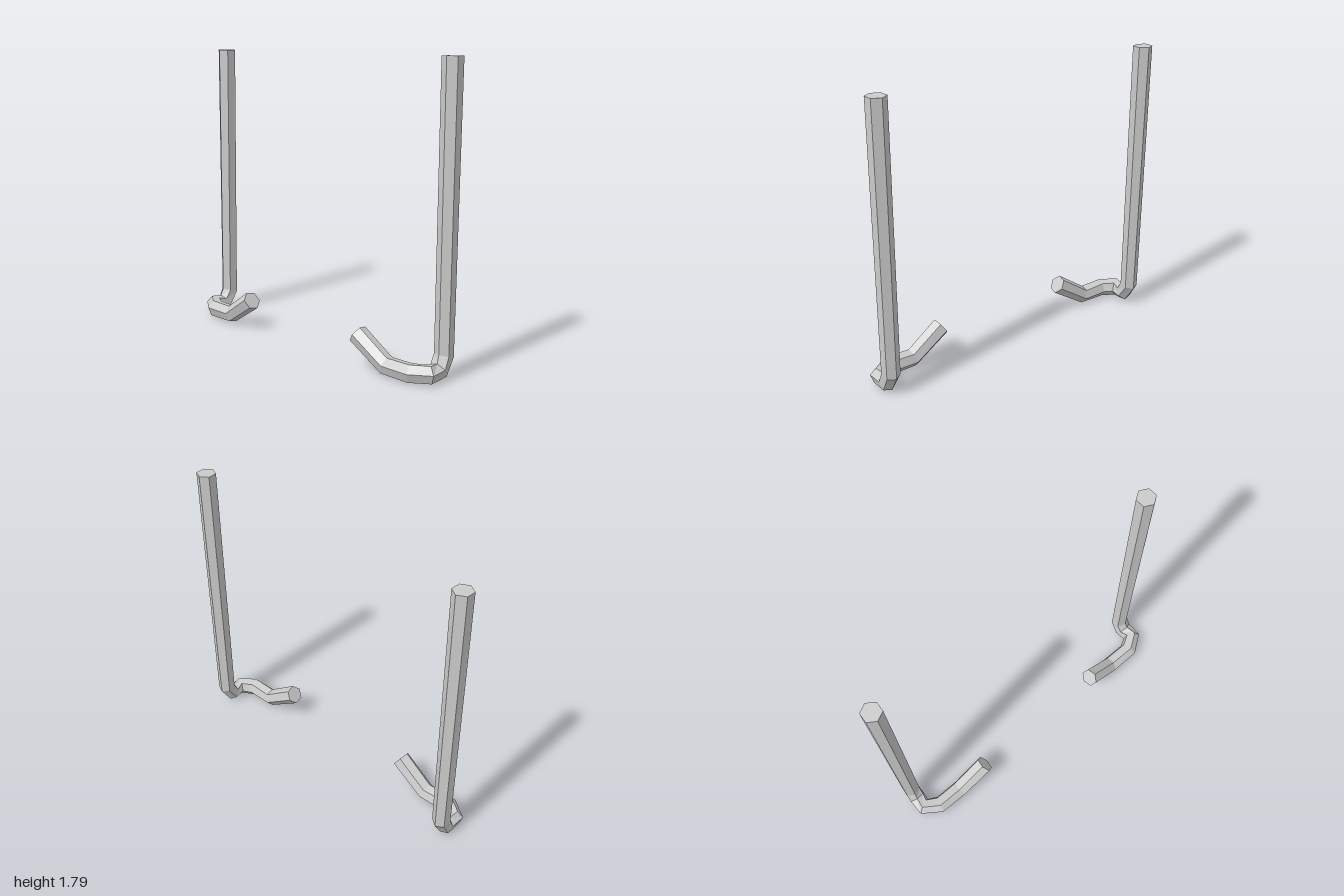
import * as THREE from 'three';

const SIDES = 6;

// Centre line of the left pole, top to tip: x, y, z, radius, twist in degrees
const PATH = [
  [0.941, 1.795, -0.107, 0.060, 4],
  [0.941, 0.135, -0.097, 0.056, 6],
  [0.941, 0.057, -0.052, 0.056, 12],
  [0.945, 0.057, 0.035, 0.057, 14],
  [0.857, 0.057, 0.093, 0.058, 14],
  [0.682, 0.056, 0.094, 0.057, 14],
  [0.468, 0.195, 0.104, 0.060, 14],
];

// Hexagonal rings carried along the centre line; side = -1 mirrors them in x
function bentPole(side) {
  const pts = PATH.map(([x, y, z]) => new THREE.Vector3(x, y, z));
  const last = pts.length - 1;
  const dirs = pts.slice(1).map((p, i) => p.clone().sub(pts[i]).normalize());
  const u = new THREE.Vector3(0, 0, 1);
  const v = new THREE.Vector3(1, 0, 0);
  const turn = new THREE.Quaternion();
  let previous = new THREE.Vector3(0, -1, 0);

  const rings = pts.map((p, i) => {
    const tangent = dirs[Math.max(i - 1, 0)].clone().add(dirs[Math.min(i, last - 1)]).normalize();
    turn.setFromUnitVectors(previous, tangent);
    u.applyQuaternion(turn);
    v.applyQuaternion(turn);
    previous = tangent;
    const [, , , r, twist] = PATH[i];
    return Array.from({ length: SIDES }, (_, j) => {
      const a = (j / SIDES) * Math.PI * 2 + THREE.MathUtils.degToRad(twist);
      return p.clone().addScaledVector(u, r * Math.cos(a)).addScaledVector(v, r * Math.sin(a));
    });
  });

  const positions = [];
  const tri = (a, b, c) => {
    for (const p of side > 0 ? [a, b, c] : [a, c, b]) positions.push(p.x * side, p.y, p.z);
  };
  for (let j = 0; j < SIDES; j++) {
    const k = (j + 1) % SIDES;
    for (let i = 0; i < last; i++) {
      tri(rings[i][j], rings[i + 1][j], rings[i + 1][k]);
      tri(rings[i][j], rings[i + 1][k], rings[i][k]);
    }
    // End caps
    tri(pts[0], rings[0][j], rings[0][k]);
    tri(pts[last], rings[last][k], rings[last][j]);
  }
  const geometry = new THREE.BufferGeometry();
  geometry.setAttribute('position', new THREE.Float32BufferAttribute(positions, 3));
  geometry.computeVertexNormals();
  return geometry;
}

export function createModel() {
  const model = new THREE.Group();
  model.name = 'bentPoles';
  const material = new THREE.MeshStandardMaterial({ color: 0xcccccc, flatShading: true });
  for (const [name, side] of [['leftPole', 1], ['rightPole', -1]]) {
    const pole = new THREE.Mesh(bentPole(side), material);
    pole.name = name;
    model.add(pole);
  }
  return model;
}
